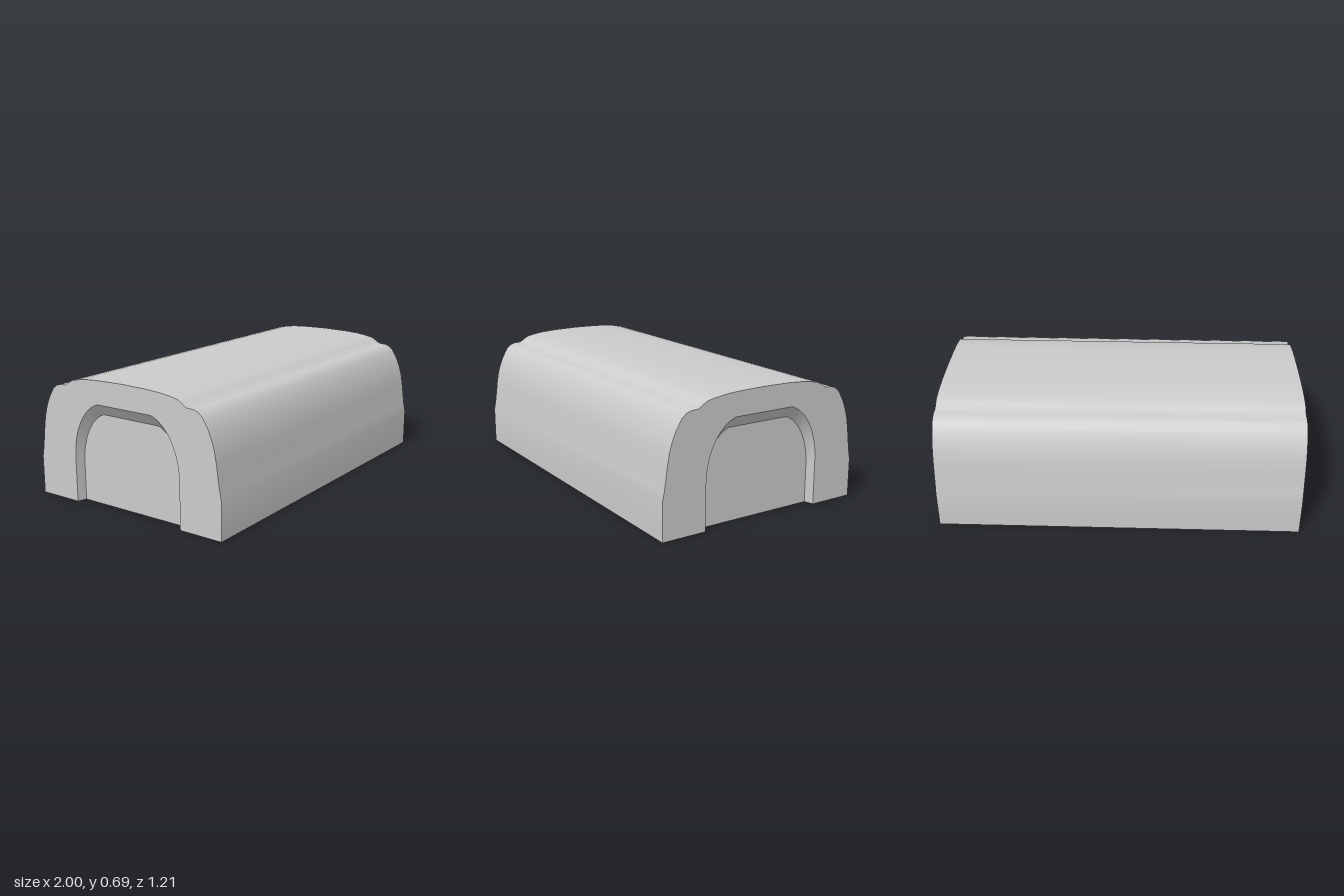
import * as THREE from 'three';
import { toCreasedNormals } from 'three/addons/utils/BufferGeometryUtils.js';

const HALF = 1, DEPTH = 0.05;
const material = new THREE.MeshStandardMaterial({ color: 0xcccccc });

// Mirror a half outline (foot to crown) into a full arch running from +z to -z.
function mirrorArch(half) {
  const other = half.filter(([z]) => z > 0).map(([z, y]) => [-z, y]).reverse();
  return [...half, ...other];
}

// Arched doorway: straight jambs, elliptical shoulders and a flat top.
function doorway(width, spring, centre, height) {
  const half = [[width, 0]];
  for (let i = 0; i <= 12; i++) {
    const t = THREE.MathUtils.degToRad(77 * i / 12);
    half.push([centre + (width - centre) * Math.cos(t), spring + (height - spring) * Math.sin(t)]);
  }
  return mirrorArch(half);
}

// Surface between two outlines with the same number of points, at two x positions.
function loft(a, xa, b, xb) {
  const pos = [];
  for (let i = 0; i < a.length - 1; i++) {
    const p = [xa, a[i][1], a[i][0]], q = [xb, b[i][1], b[i][0]];
    const r = [xb, b[i + 1][1], b[i + 1][0]], s = [xa, a[i + 1][1], a[i + 1][0]];
    pos.push(...p, ...q, ...r, ...p, ...r, ...s);
  }
  const geometry = new THREE.BufferGeometry();
  geometry.setAttribute('position', new THREE.Float32BufferAttribute(pos, 3));
  return toCreasedNormals(geometry, THREE.MathUtils.degToRad(50));
}

function flat(points) {
  return new THREE.ShapeGeometry(new THREE.Shape(points.map(([u, v]) => new THREE.Vector2(u, v))));
}

function add(parent, name, geometry) {
  const mesh = new THREE.Mesh(geometry, material);
  mesh.name = name;
  parent.add(mesh);
  return mesh;
}

export function createModel() {
  const model = new THREE.Group();
  model.name = 'archedBlock';

  // Outer cross-section with a raised crown
  const outer = mirrorArch([
    [0.605, 0], [0.605, 0.21], [0.595, 0.26], [0.587, 0.315], [0.577, 0.39], [0.567, 0.445],
    [0.553, 0.493], [0.532, 0.545], [0.498, 0.602], [0.473, 0.623], [0.447, 0.632], [0.402, 0.635],
    [0.375, 0.653], [0.35, 0.667], [0.3, 0.677], [0.24, 0.685], [0.15, 0.69], [0, 0.693],
  ]);
  const mouth = doorway(0.352, 0.25, 0.13, 0.57);
  const back = doorway(0.337, 0.21, 0.14, 0.505);

  add(model, 'outerShell', loft(outer, -HALF, outer, HALF));

  // Recessed archway at each end
  for (const side of [1, -1]) {
    const end = new THREE.Group();
    end.name = side > 0 ? 'leftEnd' : 'rightEnd';
    add(end, 'endFrame', flat([...outer, ...[...mouth].reverse()]).rotateY(Math.PI / 2).translate(HALF, 0, 0));
    add(end, 'archReveal', loft(mouth, HALF, back, HALF - DEPTH));
    add(end, 'recessPanel', flat(back).rotateY(Math.PI / 2).translate(HALF - DEPTH, 0, 0));
    if (side < 0) end.rotation.y = Math.PI;
    model.add(end);
  }

  // Underside, notched where the archways meet the floor
  const w = outer[0][0], m = mouth[0][0], b = back[0][0], d = HALF - DEPTH;
  const edge = [[HALF, -w], [HALF, -m], [d, -b], [d, b], [HALF, m], [HALF, w]];
  add(model, 'underside', flat([...edge, ...edge.map(([x, z]) => [-x, -z])]).rotateX(Math.PI / 2));

  return model;
}
